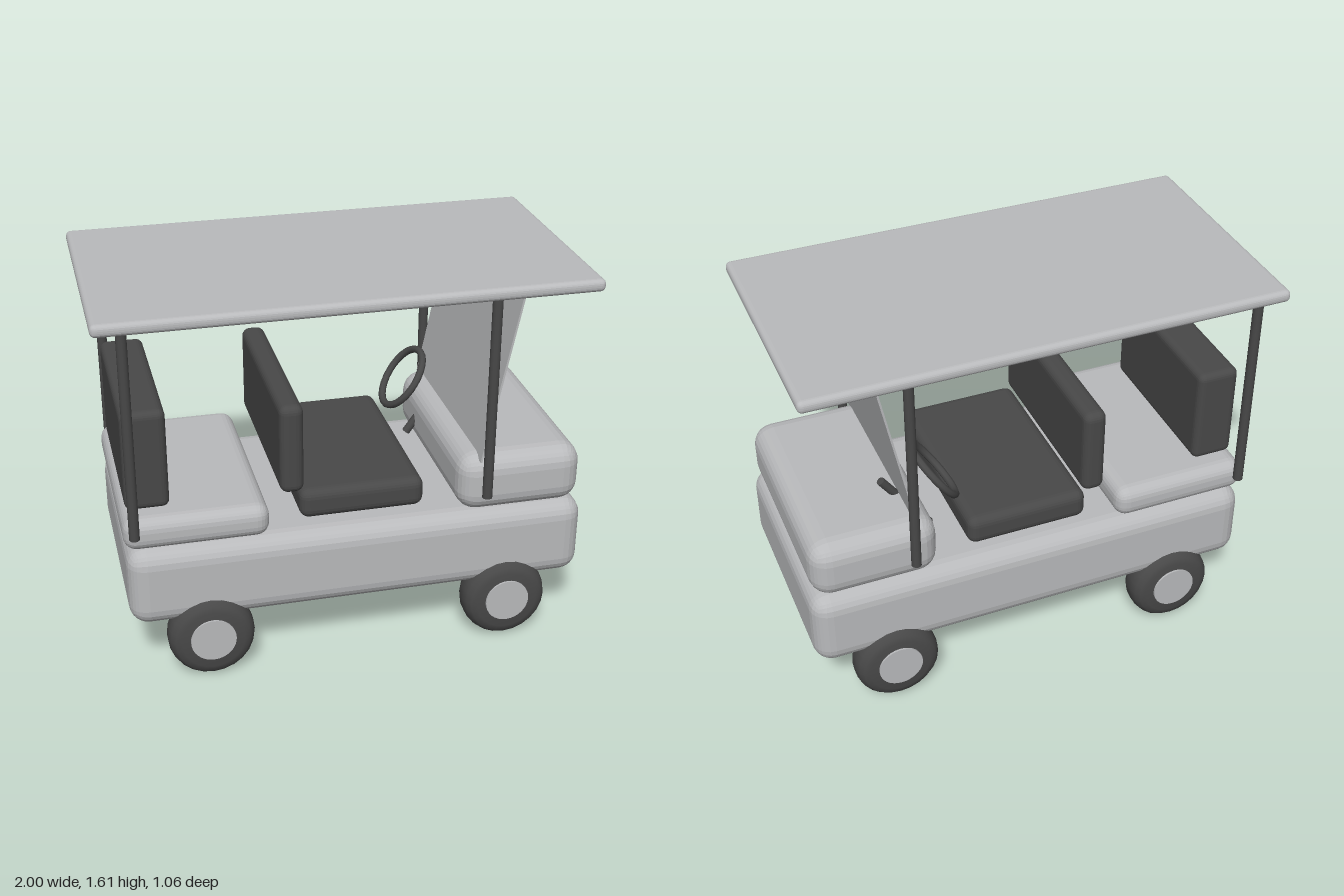
import * as THREE from 'three';
import { RoundedBoxGeometry } from 'three/addons/geometries/RoundedBoxGeometry.js';
import { toCreasedNormals } from 'three/addons/utils/BufferGeometryUtils.js';

export function createModel() {
  const cart = new THREE.Group();
  cart.name = 'golfCart';

  const paint = new THREE.MeshStandardMaterial({ color: 0xb9babc });
  paint.name = 'light grey';
  const dark = new THREE.MeshStandardMaterial({ color: 0x484848 });
  dark.name = 'dark grey';

  function add(name, geometry, material, x = 0, y = 0, z = 0) {
    const mesh = new THREE.Mesh(geometry, material);
    mesh.name = name;
    mesh.position.set(x, y, z);
    cart.add(mesh);
    return mesh;
  }

  // Faceted rounded block given by its x range, y range and half depth
  function block(name, material, x0, x1, y0, y1, halfZ, radius, segments = 3) {
    const geometry = new RoundedBoxGeometry(x1 - x0, y1 - y0, halfZ * 2, segments, radius);
    geometry.computeVertexNormals();
    return add(name, geometry, material, (x0 + x1) / 2, (y0 + y1) / 2, 0);
  }

  // Bodywork
  block('body', paint, -0.92, 1.0, 0.255, 0.605, 0.485, 0.08);
  block('hood', paint, 0.455, 0.985, 0.595, 0.855, 0.47, 0.085);
  block('rearDeck', paint, -0.925, -0.335, 0.6, 0.74, 0.46, 0.055);
  block('roof', paint, -1.0, 0.99, 1.563, 1.615, 0.53, 0.022);

  // Seats
  block('frontSeatCushion', dark, -0.205, 0.315, 0.637, 0.767, 0.42, 0.04);
  block('frontSeatBack', dark, -0.285, -0.187, 0.765, 1.152, 0.42, 0.035);
  block('rearSeatBack', dark, -0.905, -0.725, 0.742, 1.17, 0.37, 0.03);

  // Roof posts
  const post = new THREE.CylinderGeometry(0.021, 0.021, 0.89, 12);
  for (const x of [-0.885, 0.565]) {
    for (const side of [-1, 1]) add('roofPost', post, dark, x, 1.125, side * 0.479);
  }

  // Windshield, leaning forward at the top
  const screen = add('windshield', new THREE.BoxGeometry(0.008, 0.74, 0.92), paint, 0.612, 1.196, 0);
  screen.rotation.z = -Math.atan2(0.145, 0.72);

  // Steering wheel and column, both tilted in the side plane
  const tilt = -Math.atan2(0.18, 0.25);
  const ring = new THREE.TorusGeometry(0.138, 0.016, 8, 28).rotateY(Math.PI / 2);
  add('steeringWheel', ring, dark, 0.395, 0.925, -0.22).rotation.z = tilt;
  const column = new THREE.CylinderGeometry(0.018, 0.018, 0.34, 12);
  add('steeringColumn', column, dark, 0.518, 0.79, -0.22).rotation.z = tilt;

  // Wheels: a rounded tyre with a slightly proud hub disc on the outside
  const profile = [
    [0, -0.073], [0.13, -0.073], [0.155, -0.066], [0.172, -0.048], [0.18, -0.022],
    [0.18, 0.022], [0.172, 0.048], [0.155, 0.066], [0.13, 0.073], [0, 0.073],
  ].map(([r, h]) => new THREE.Vector2(r, h));
  const tyre = toCreasedNormals(new THREE.LatheGeometry(profile, 24).rotateX(Math.PI / 2), 0.6);
  const hub = new THREE.CylinderGeometry(0.094, 0.094, 0.02, 32).rotateX(Math.PI / 2);
  for (const x of [-0.595, 0.665]) {
    for (const side of [-1, 1]) {
      add('tyre', tyre, dark, x, 0.182, side * 0.443);
      add('hub', hub, paint, x, 0.186, side * 0.514);
    }
  }
  return cart;
}
